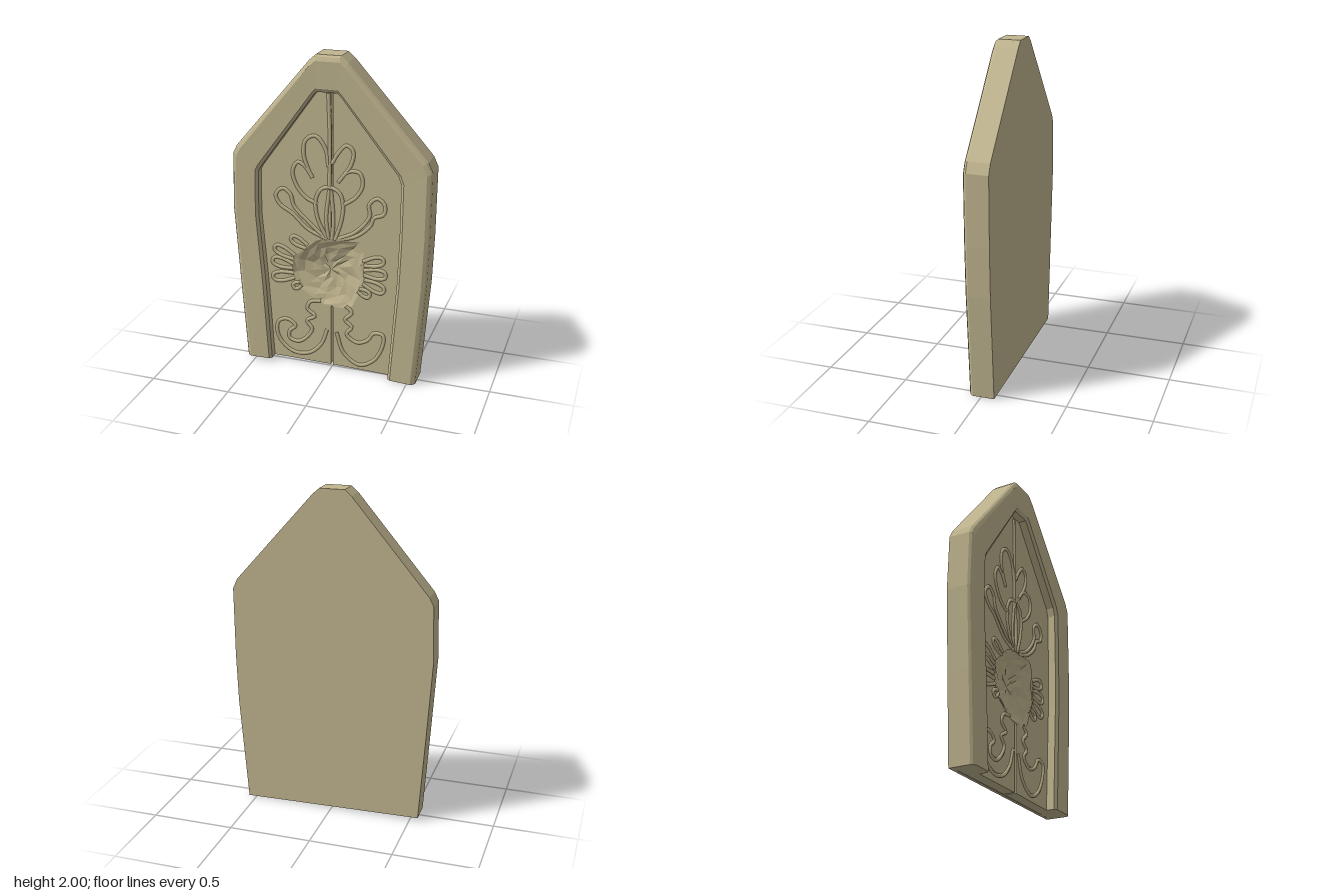
import * as THREE from 'three';

const BACK = -0.08, BOARD = -0.06, PANEL = 0.01, FRONT = 0.077;

// Outer and inner edges of the frame, from the left foot over the peak to the right foot
const OUTER = [[-0.55, 0.02], [-0.585, 0.55], [-0.615, 1.03], [-0.605, 1.37], [-0.58, 1.42], [-0.12, 1.965], [-0.08, 2],
  [0.07, 2], [0.11, 1.965], [0.585, 1.43], [0.613, 1.37], [0.61, 0.95], [0.6, 0.65], [0.55, 0]];
const INNER = [[-0.385, 0.02], [-0.415, 0.55], [-0.45, 1], [-0.445, 1.27], [-0.43, 1.3], [-0.095, 1.765], [-0.075, 1.785],
  [0.05, 1.785], [0.07, 1.765], [0.415, 1.33], [0.432, 1.28], [0.43, 0.95], [0.42, 0.65], [0.375, 0.005]];

// Rim of the worn hollow: each half runs from its bottom to its top on the centre line
const RIM_R = [[0.05, 0.425], [0.13, 0.45], [0.17, 0.54], [0.2, 0.62], [0.18, 0.72], [0.2, 0.81], [0.17, 0.87], [0.06, 0.865]];
const RIM_L = [[-0.05, 0.435], [-0.12, 0.47], [-0.2, 0.52], [-0.25, 0.62], [-0.24, 0.72], [-0.16, 0.79], [-0.1, 0.845], [-0.05, 0.865]];

function extrude(points, z0, z1) {
  const shape = new THREE.Shape(points.map(([x, y]) => new THREE.Vector2(x, y)));
  const geo = new THREE.ExtrudeGeometry(shape, { depth: z1 - z0, bevelEnabled: false });
  return geo.translate(0, 0, z0);
}

// Joins equal rows of points into a flat-shaded sheet
function loft(rows, closed) {
  const pos = [];
  const n = rows[0].length;
  for (let i = 0; i < rows.length - 1; i++) {
    for (let j = 0; j < (closed ? n : n - 1); j++) {
      const k = (j + 1) % n;
      const a = rows[i][j], b = rows[i][k], c = rows[i + 1][k], d = rows[i + 1][j];
      pos.push(...a, ...b, ...c, ...a, ...c, ...d);
    }
  }
  const geo = new THREE.BufferGeometry();
  geo.setAttribute('position', new THREE.Float32BufferAttribute(pos, 3));
  geo.computeVertexNormals();
  return geo;
}

// Frame moulding: one bevelled section per outline point, closed at both feet
function frameGeometry() {
  const section = [[0, BOARD], [0, 0.052], [0.05, 0.066], [0.16, FRONT], [0.9, FRONT - 0.004], [1, 0.058], [1, BOARD]];
  const rows = OUTER.map(([ox, oy], i) => {
    const [ix, iy] = INNER[i];
    return section.map(([t, z]) => [ox + (ix - ox) * t, oy + (iy - oy) * t, z]);
  });
  const foot = (row) => {
    const c = [0, 1, 2].map((k) => row.reduce((s, p) => s + p[k], 0) / row.length);
    return row.map(() => c);
  };
  return loft([foot(rows[0]), ...rows, foot(rows[rows.length - 1])], true);
}

// Hollow: shrinking copies of the rim that sink to a rounded bottom
function hollowGeometry() {
  const rim = [...RIM_R, ...[...RIM_L].reverse()];
  const cx = -0.02, cy = 0.65, depth = 0.05;
  const rows = [1.02, 0.9, 0.72, 0.5, 0.25, 0].map((t, r) => rim.map(([x, y], i) => {
    const lump = r > 0 && r < 5 ? 0.005 * Math.sin(i * 2.3 + r * 1.7) : 0;
    return [cx + (x - cx) * t, cy + (y - cy) * t, PANEL + 0.002 - depth * (1 - t * t) + lump];
  }));
  return loft(rows, true);
}

// Raised line through a few points
function ridge(points, closed = false) {
  const curve = new THREE.CatmullRomCurve3(points.map(([x, y]) => new THREE.Vector3(x, y, PANEL)), closed);
  return new THREE.TubeGeometry(curve, points.length * 5, 0.012, 6, closed);
}

// Slim leaf outline from base to tip
function leaf([bx, by], [tx, ty], w) {
  const dx = tx - bx, dy = ty - by, l = Math.hypot(dx, dy);
  const at = (t, s) => [bx + dx * t - (dy / l) * w * s, by + dy * t + (dx / l) * w * s];
  return ridge([at(0, 0.5), at(0.6, 1), at(0.93, 0.7), at(1, 0), at(0.93, -0.7), at(0.6, -1), at(0, -0.5)]);
}

export function createModel() {
  const stone = new THREE.MeshStandardMaterial({ color: 0xc0b58f, side: THREE.DoubleSide });
  stone.name = 'sandstone';
  const model = new THREE.Group();
  model.name = 'carvedDoor';
  const add = (name, geo, parent = model) => {
    const mesh = new THREE.Mesh(geo, stone);
    mesh.name = name;
    parent.add(mesh);
  };

  add('backBoard', extrude(OUTER, BACK, BOARD));
  add('frame', frameGeometry());

  // Two door leaves with a narrow groove between them
  const g = 0.007, ends = INNER.length;
  const half = (side, edge, rim) => [[side * g, 0.015], ...edge, [side * g, 1.785],
    [side * g, 0.865], ...[...rim].reverse(), [side * g, 0.425]];
  add('leftDoorLeaf', extrude(half(1, INNER.slice(7, ends).reverse(), RIM_R), BOARD, PANEL));
  add('rightDoorLeaf', extrude(half(-1, INNER.slice(0, 7), RIM_L), BOARD, PANEL));
  add('wornHollow', hollowGeometry());

  const carving = new THREE.Group();
  carving.name = 'carving';
  model.add(carving);

  // Bud above the hollow
  add('bud', ridge([[-0.03, 0.87], [-0.09, 1], [-0.1, 1.12], [-0.06, 1.19], [0, 1.2], [0.05, 1.17], [0.07, 1.1], [0.06, 1], [0.02, 0.87]]), carving);
  add('budVein', ridge([[-0.02, 0.87], [-0.035, 1], [-0.015, 1.19]]), carving);
  add('budVein', ridge([[0, 0.87], [0.01, 1], [-0.005, 1.19]]), carving);
  add('stem', ridge([[-0.015, 1.2], [-0.012, 1.5], [-0.02, 1.77]]), carving);

  // Upper leaves
  const upper = [
    [[-0.02, 1.33], [-0.04, 1.44], [-0.1, 1.51], [-0.16, 1.48], [-0.175, 1.4], [-0.15, 1.31], [-0.12, 1.25]],
    [[-0.12, 1.25], [-0.16, 1.31], [-0.21, 1.34], [-0.245, 1.28], [-0.22, 1.19], [-0.16, 1.12], [-0.09, 1.09]],
    [[0, 1.35], [0.04, 1.42], [0.09, 1.47], [0.13, 1.44], [0.12, 1.36], [0.04, 1.24]],
    [[0.04, 1.24], [0.1, 1.31], [0.17, 1.31], [0.19, 1.24], [0.15, 1.16], [0.07, 1.1]],
  ];
  upper.forEach((p) => add('upperLeaf', ridge(p), carving));

  // Long stalks with round ends
  add('stalk', ridge([[-0.03, 0.87], [-0.15, 0.92], [-0.25, 1.01], [-0.33, 1.06], [-0.355, 1.12], [-0.31, 1.165],
    [-0.26, 1.13], [-0.24, 1.06], [-0.15, 0.97], [-0.05, 0.88]]), carving);
  add('stalk', ridge([[0.03, 0.87], [0.15, 0.91], [0.24, 0.99], [0.26, 1.04], [0.32, 1.07], [0.325, 1.13], [0.28, 1.165],
    [0.23, 1.12], [0.235, 1.05], [0.15, 0.94], [0.04, 0.88]]), carving);

  // Side leaves around the hollow
  const sides = [[[-0.24, 0.72], [-0.37, 0.775], 0.028], [[-0.25, 0.66], [-0.385, 0.685], 0.03], [[-0.24, 0.6], [-0.385, 0.57], 0.03],
    [[-0.16, 0.8], [-0.26, 0.85], 0.025], [[0.2, 0.74], [0.325, 0.775], 0.028], [[0.2, 0.68], [0.34, 0.68], 0.03],
    [[0.2, 0.62], [0.33, 0.575], 0.03], [[0.17, 0.56], [0.24, 0.53], 0.022], [[-0.2, 0.55], [-0.25, 0.52], 0.02]];
  sides.forEach(([b, t, w]) => add('sideLeaf', leaf(b, t, w), carving));

  // Scrolls at the foot
  add('scroll', ridge([[-0.07, 0.45], [-0.14, 0.435], [-0.16, 0.385], [-0.11, 0.34], [-0.165, 0.3], [-0.13, 0.25], [-0.16, 0.19],
    [-0.22, 0.145], [-0.28, 0.16], [-0.28, 0.21], [-0.24, 0.25], [-0.29, 0.29], [-0.35, 0.27], [-0.365, 0.2],
    [-0.33, 0.12], [-0.25, 0.065], [-0.15, 0.075], [-0.07, 0.15], [-0.03, 0.26]]), carving);
  add('scroll', ridge([[0.09, 0.44], [0.13, 0.4], [0.085, 0.345], [0.13, 0.3], [0.095, 0.25], [0.16, 0.2], [0.23, 0.225],
    [0.27, 0.28], [0.33, 0.275], [0.325, 0.19], [0.27, 0.09], [0.18, 0.045], [0.08, 0.11], [0.03, 0.25]]), carving);

  return model;
}
